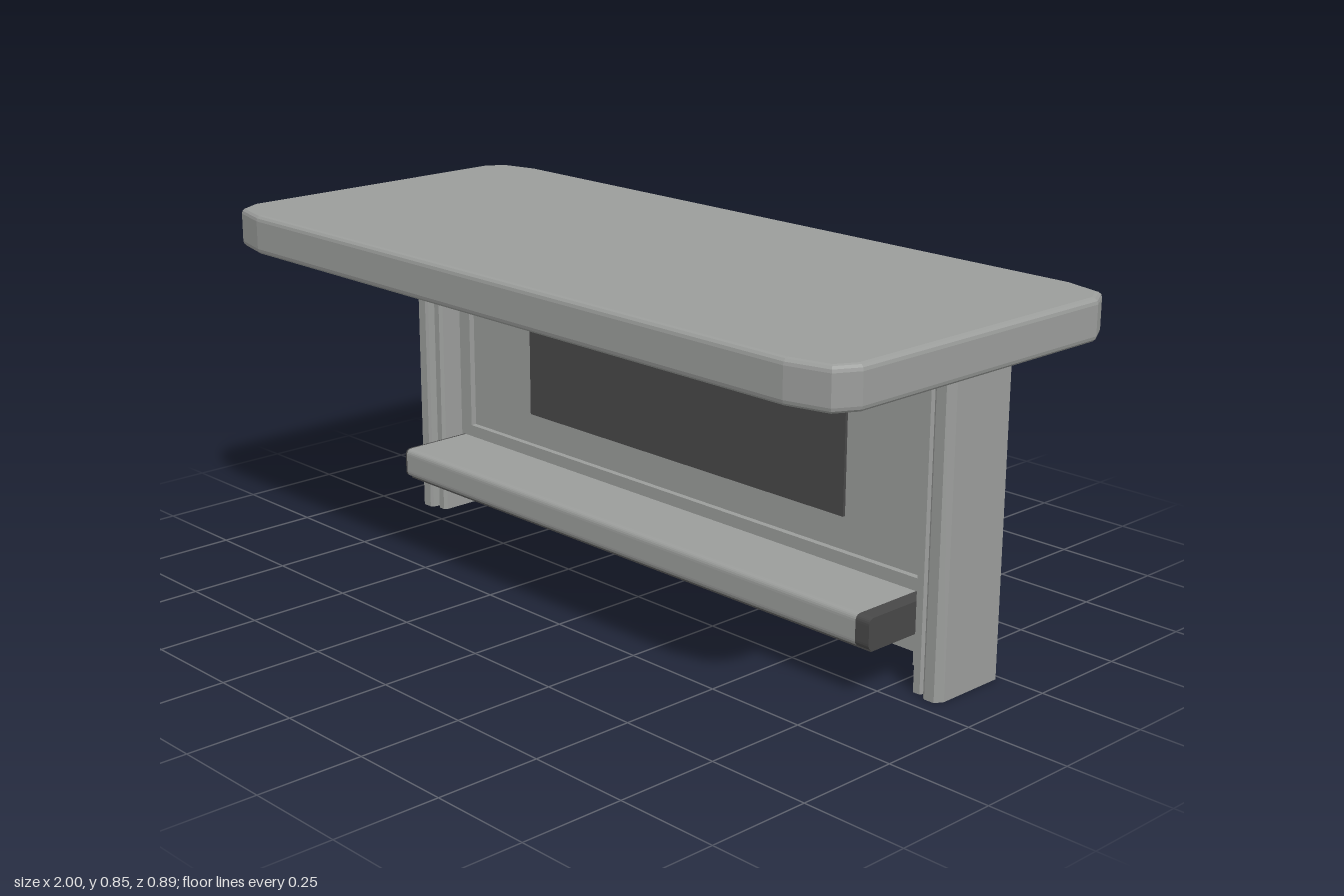
import * as THREE from 'three';

const grey = new THREE.MeshStandardMaterial({ color: 0x9b9d9b });
grey.name = 'grey';
const dark = new THREE.MeshStandardMaterial({ color: 0x484848 });
dark.name = 'dark grey';

const polygon = (points) => new THREE.Shape(points.map(([x, y]) => new THREE.Vector2(x, y)));
const extrude = (shape, depth, bevel = 0) => new THREE.ExtrudeGeometry(shape, {
  depth: depth - 2 * bevel, bevelEnabled: bevel > 0, bevelThickness: bevel,
  bevelSize: bevel, bevelOffset: -bevel, bevelSegments: 3, curveSegments: 6,
}).translate(0, 0, bevel);

// Plan outline (x, -z) raised from y0 to y1
const upright = (shape, y0, y1, bevel) =>
  extrude(shape, y1 - y0, bevel).rotateX(-Math.PI / 2).translate(0, y0, 0);

// Side profile (z, y) run along x from x0 to x1
const along = (shape, x0, x1) =>
  extrude(shape, x1 - x0).rotateY(-Math.PI / 2).translate(x1, 0, 0);

// Clipped-corner rectangle used for the roof slab and its underside
function slabOutline(w, d) {
  const corner = [[w, d - 0.08], [w - 0.03, d - 0.025], [w - 0.13, d]];
  const half = [...corner, ...corner.map(([x, y]) => [-x, y]).reverse()];
  return polygon([...half, ...half.map(([x, y]) => [x, -y]).reverse()]);
}

function roundedProfile(z0, z1, y0, y1, r) {
  const s = new THREE.Shape();
  s.moveTo(z0, y0);
  s.lineTo(z1 - r, y0);
  s.quadraticCurveTo(z1, y0, z1, y0 + r);
  s.lineTo(z1, y1 - r);
  s.quadraticCurveTo(z1, y1, z1 - r, y1);
  s.lineTo(z0, y1);
  return s;
}

export function createModel() {
  const model = new THREE.Group();
  const add = (name, geometry, material = grey) => {
    const mesh = new THREE.Mesh(geometry, material);
    mesh.name = name;
    model.add(mesh);
    return mesh;
  };
  const box = (name, x0, x1, y0, y1, z0, z1, material) =>
    add(name, new THREE.BoxGeometry(x1 - x0, y1 - y0, z1 - z0)
      .translate((x0 + x1) / 2, (y0 + y1) / 2, (z0 + z1) / 2), material);

  // Roof slab with dark front underside
  add('roof', upright(slabOutline(1, 0.445), 0.757, 0.853, 0.014));
  box('roofUnderside', -0.93, 0.93, 0.749, 0.758, -0.04, 0.395, dark);

  // Grooved posts with rounded outer edges and small inner feet
  for (const s of [-1, 1]) {
    const outline = polygon([
      [0.80, 0.245], [0.80, 0.06], [0.806, 0.052], [0.824, 0.052], [0.83, 0.065],
      [0.837, 0.065], [0.84, 0.045], [0.847, 0.04], [0.873, 0.04], [0.885, 0.06],
      [0.885, 0.235], [0.877, 0.245],
    ].map(([x, y]) => [s * x, y]));
    add(s > 0 ? 'leftPost' : 'rightPost', upright(outline, 0, 0.765));
    const x = s * 0.78;
    box('foot', x - 0.025, x + 0.025, 0.03, 0.07, -0.17, -0.11);
  }

  // Back wall with a sloping top edge
  const wall = polygon([[-0.81, 0.06], [0.81, 0.06], [0.81, 0.76], [-0.81, 0.70]]);
  add('backWall', extrude(wall, 0.045).translate(0, 0, -0.175));

  // Raised frame around the sloping field
  const frame = polygon([[-0.80, 0.08], [0.80, 0.08], [0.80, 0.757], [-0.80, 0.685]]);
  frame.holes.push(new THREE.Path(
    [[-0.76, 0.23], [-0.76, 0.62], [0.77, 0.72], [0.77, 0.23]].map(([x, y]) => new THREE.Vector2(x, y))));
  add('wallFrame', extrude(frame, 0.015).translate(0, 0, -0.13));

  // Dark display panel
  box('displayPanel', -0.53, 0.53, 0.31, 0.60, -0.131, -0.123, dark);

  // Bench with dark ends and underside
  const bench = roundedProfile(-0.12, 0.08, 0.127, 0.2, 0.016);
  add('bench', along(bench, -0.785, 0.752));
  add('benchLeftEnd', along(bench, 0.752, 0.79), dark);
  add('benchRightEnd', along(bench, -0.79, -0.785), dark);
  box('benchUnderside', -0.785, 0.785, 0.121, 0.128, -0.115, 0.066, dark);

  // Lower rail under the bench
  box('lowerRail', -0.80, 0.80, 0.07, 0.122, -0.135, -0.095);

  return model;
}
